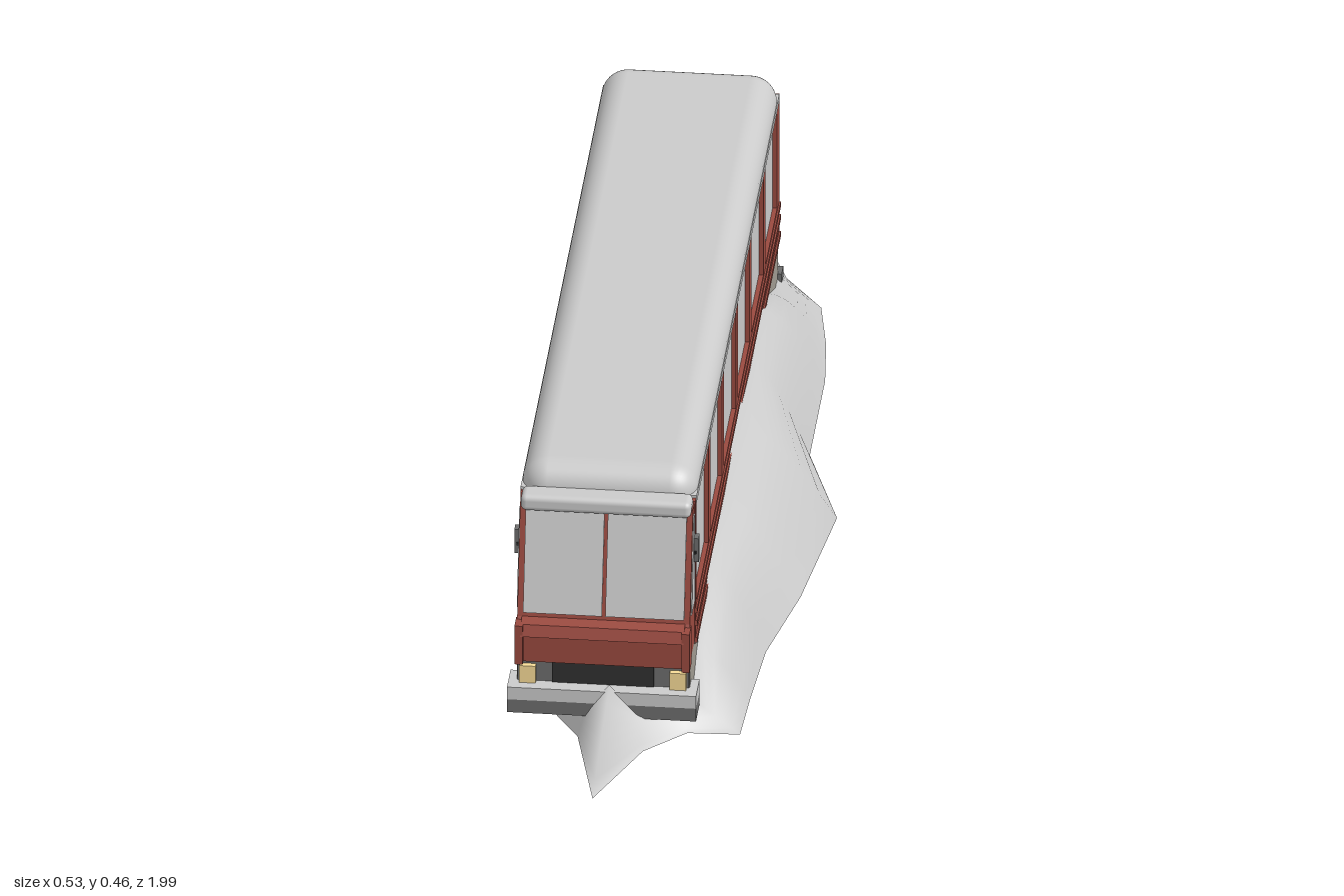
import * as THREE from 'three';
import { RoundedBoxGeometry } from 'three/addons/geometries/RoundedBoxGeometry.js';

const CX = -0.06; // the bus stands slightly off centre in the drift
const mat = (color, extra = {}) => new THREE.MeshStandardMaterial({ color, ...extra });
const GREY = mat(0xcccccc);
const RED = mat(0x9a4a40);
const SKIRT = mat(0xa09c92);
const TRIM = mat(0x6e6e6e);
const DARK = mat(0x303030);
const LAMP = mat(0xf8dc98);
const SNOW = mat(0xcccccc, { side: THREE.DoubleSide });

function add(parent, name, geometry, material, x = 0, y = 0, z = 0) {
  const mesh = new THREE.Mesh(geometry, material);
  mesh.name = name;
  mesh.position.set(x, y, z);
  parent.add(mesh);
  return mesh;
}

// box given by its limits on each axis
function box(parent, name, material, x0, x1, y0, y1, z0, z1) {
  return add(parent, name, new THREE.BoxGeometry(x1 - x0, y1 - y0, z1 - z0), material,
    (x0 + x1) / 2, (y0 + y1) / 2, (z0 + z1) / 2);
}

const polygon = (pts) => new THREE.Shape(pts.map(([a, b]) => new THREE.Vector2(a, b)));
const rect = (a0, a1, b0, b1) => [[a0, b0], [a1, b0], [a1, b1], [a0, b1]];

// flat panel with rectangular window openings, extruded along z
function panel(outline, holes, depth) {
  const shape = polygon(outline);
  holes.forEach((h) => shape.holes.push(polygon(h)));
  return new THREE.ExtrudeGeometry(shape, { depth, bevelEnabled: false });
}

// turns a (z, y) profile extruded along z into one centred across x
function sideways(geometry, width) {
  return geometry.translate(0, 0, -width / 2).rotateY(-Math.PI / 2);
}

function buildBody(bus) {
  box(bus, 'skirt', SKIRT, -0.148, 0.148, 0.045, 0.13, -0.74, 0.735);
  box(bus, 'floor', DARK, -0.14, 0.14, 0.038, 0.046, -0.73, 0.72);
  box(bus, 'windowGlass', GREY, -0.142, 0.142, 0.13, 0.4, -0.735, 0.655);

  // side frames with six windows each
  const holes = [];
  for (let i = 0; i < 6; i++) {
    const z = 0.543 - i * 0.2305;
    holes.push(rect(z - 0.1, z + 0.1, 0.2, 0.393));
  }
  for (const s of [-1, 1]) {
    const frame = sideways(panel(rect(-0.74, 0.662, 0.125, 0.405), holes, 0.01), 0.01);
    add(bus, 'sideFrame', frame, RED, s * 0.145);
    for (const y of [0.132, 0.165, 0.19])
      box(bus, 'sideTrim', RED, s * 0.15 - 0.003, s * 0.15 + 0.003, y - 0.005, y + 0.005, -0.742, 0.66);
  }
  // rear frame with one wide window
  add(bus, 'rearFrame', panel(rect(-0.15, 0.15, 0.125, 0.405), [rect(-0.13, 0.13, 0.205, 0.385)], 0.012),
    RED, 0, 0, -0.745);

  // roof: rounded box with its lower half flattened
  const roof = new RoundedBoxGeometry(0.3, 0.11, 1.41, 5, 0.045);
  const p = roof.attributes.position;
  for (let i = 0; i < p.count; i++) p.setY(i, Math.max(p.getY(i), 0));
  add(bus, 'roof', roof, GREY, 0, 0.401, -0.041);
  box(bus, 'roofEdge', GREY, -0.151, 0.151, 0.396, 0.41, -0.735, 0.65);
}

function buildFront(bus) {
  // cab with sloping windscreen
  const profile = [[0.64, 0.125], [0.75, 0.125], [0.75, 0.18], [0.735, 0.205], [0.685, 0.4], [0.64, 0.4]];
  add(bus, 'cab', sideways(panel(profile, [], 0.296), 0.296), RED);
  const slope = Math.atan2(-0.05, 0.195);
  for (const s of [-1, 1]) {
    const pane = add(bus, 'windscreen', new THREE.BoxGeometry(0.135, 0.182, 0.006), GREY, s * 0.0705, 0.3, 0.711);
    pane.rotation.x = slope;
    const quarter = polygon([[0.668, 0.215], [0.722, 0.215], [0.682, 0.385], [0.668, 0.385]]);
    add(bus, 'quarterWindow',
      sideways(new THREE.ExtrudeGeometry(quarter, { depth: 0.004, bevelEnabled: false }), 0.004), GREY, s * 0.148);
    // lamps, mirrors
    box(bus, 'lampPanel', TRIM, s * 0.117 - 0.03, s * 0.117 + 0.03, 0.08, 0.125, 0.735, 0.742);
    box(bus, 'headlight', LAMP, s * 0.129 - 0.014, s * 0.129 + 0.014, 0.082, 0.117, 0.74, 0.752);
    box(bus, 'mirror', TRIM, s * 0.153 - 0.005, s * 0.153 + 0.005, 0.3, 0.346, 0.668, 0.686);
    box(bus, 'mirrorArm', DARK, s * 0.147 - 0.007, s * 0.147 + 0.007, 0.317, 0.322, 0.674, 0.69);
    // raised edges of the nose
    box(bus, 'noseEdge', RED, s * 0.143 - 0.007, s * 0.143 + 0.007, 0.125, 0.2, 0.73, 0.762);
  }
  const lip = [[0.735, 0.205], [0.735, 0.18], [0.763, 0.18], [0.755, 0.2]];
  add(bus, 'noseLip', sideways(panel(lip, [], 0.28), 0.28), RED);
  box(bus, 'grille', DARK, -0.087, 0.087, 0.08, 0.125, 0.73, 0.745);
  add(bus, 'visor', new RoundedBoxGeometry(0.292, 0.03, 0.045, 3, 0.01), GREY, 0, 0.406, 0.68);

  // two-tone front bumper, wrapping round the corners
  for (const [name, material, y0, y1] of [['bumperTop', GREY, 0.06, 0.084], ['bumperBottom', TRIM, 0.035, 0.06]]) {
    box(bus, name, material, -0.162, 0.162, y0, y1, 0.74, 0.77);
    for (const s of [-1, 1])
      box(bus, name + 'End', material, s * 0.155 - 0.007, s * 0.155 + 0.007, y0, y1, 0.71, 0.74);
  }
}

function buildRear(bus) {
  box(bus, 'rearBumper', TRIM, -0.155, 0.155, 0.036, 0.056, -0.763, -0.735);
  for (const s of [-1, 1])
    box(bus, 'rearLamp', LAMP, s * 0.138 - 0.009, s * 0.138 + 0.009, 0.06, 0.085, -0.755, -0.738);
}

function buildWheels(bus) {
  for (const s of [-1, 1]) for (const z of [0.545, -0.535]) {
    const wheel = new THREE.Group();
    wheel.name = 'wheel';
    wheel.position.set(s * 0.138, 0.046, z);
    wheel.rotation.z = -s * Math.PI / 2;
    add(wheel, 'tyre', new THREE.CylinderGeometry(0.042, 0.042, 0.036, 20), DARK);
    add(wheel, 'hub', new THREE.CylinderGeometry(0.022, 0.022, 0.04, 16), TRIM);
    bus.add(wheel);
  }
}

// snow bank: foot (x, z) and crest (x, z, height) at stations round the bus
function buildSnow(root) {
  const stations = [
    [0.026, -1, 0, -0.74, 0.105], [0.095, -0.82, 0.06, -0.735, 0.07], [0.164, -0.725, 0.085, -0.7, 0.05],
    [0.185, -0.6, 0.085, -0.6, 0.095], [0.196, -0.476, 0.085, -0.44, 0.15], [0.196, -0.22, 0.085, -0.25, 0.16],
    [0.264, -0.01, 0.085, 0, 0.178], [0.23, 0.265, 0.085, 0.25, 0.158], [0.19, 0.46, 0.085, 0.44, 0.15],
    [0.18, 0.62, 0.085, 0.62, 0.09], [0.175, 0.746, 0.085, 0.7, 0.04], [0.085, 0.75, 0.07, 0.73, 0.035],
    [0.016, 0.82, 0, 0.765, 0.045], [-0.053, 0.99, -0.047, 0.765, 0.095], [-0.1, 0.78, -0.085, 0.755, 0.05],
    [-0.15, 0.7, -0.14, 0.68, 0.04], [-0.19, 0.55, -0.17, 0.55, 0.04], [-0.217, 0.45, -0.2, 0.4, 0.05],
    [-0.243, 0.03, -0.205, 0.03, 0.09], [-0.264, -0.265, -0.205, -0.2, 0.097], [-0.21, -0.5, -0.195, -0.42, 0.05],
    [-0.18, -0.62, -0.17, -0.62, 0.04], [-0.153, -0.77, -0.14, -0.735, 0.045],
    [-0.127, -0.86, -0.1, -0.735, 0.07], [-0.05, -0.905, -0.05, -0.735, 0.09],
  ];
  const steps = 6, n = stations.length, pos = [], index = [];
  for (const [ox, oz, ix, iz, h] of stations) {
    const round = Math.abs(oz) < 0.7 ? 1 : 0.15; // sides bulge, tips taper straight
    for (let j = 0; j <= steps; j++) {
      const t = j / steps;
      const y = h * THREE.MathUtils.lerp(t, Math.sin(t * Math.PI / 2), round);
      pos.push(ox + (ix - ox) * t, y, oz + (iz - oz) * t);
    }
  }
  for (let i = 0; i < n; i++) for (let j = 0; j < steps; j++) {
    const a = i * (steps + 1) + j, b = ((i + 1) % n) * (steps + 1) + j;
    index.push(a, a + 1, b, b, a + 1, b + 1);
  }
  const geometry = new THREE.BufferGeometry();
  geometry.setAttribute('position', new THREE.Float32BufferAttribute(pos, 3));
  geometry.setIndex(index);
  geometry.computeVertexNormals();
  add(root, 'snowBank', geometry, SNOW);
}

export function createModel() {
  const root = new THREE.Group();
  root.name = 'snowboundBus';
  const bus = new THREE.Group();
  bus.name = 'bus';
  bus.position.x = CX;
  root.add(bus);
  buildBody(bus);
  buildFront(bus);
  buildRear(bus);
  buildWheels(bus);
  buildSnow(root);
  return root;
}
